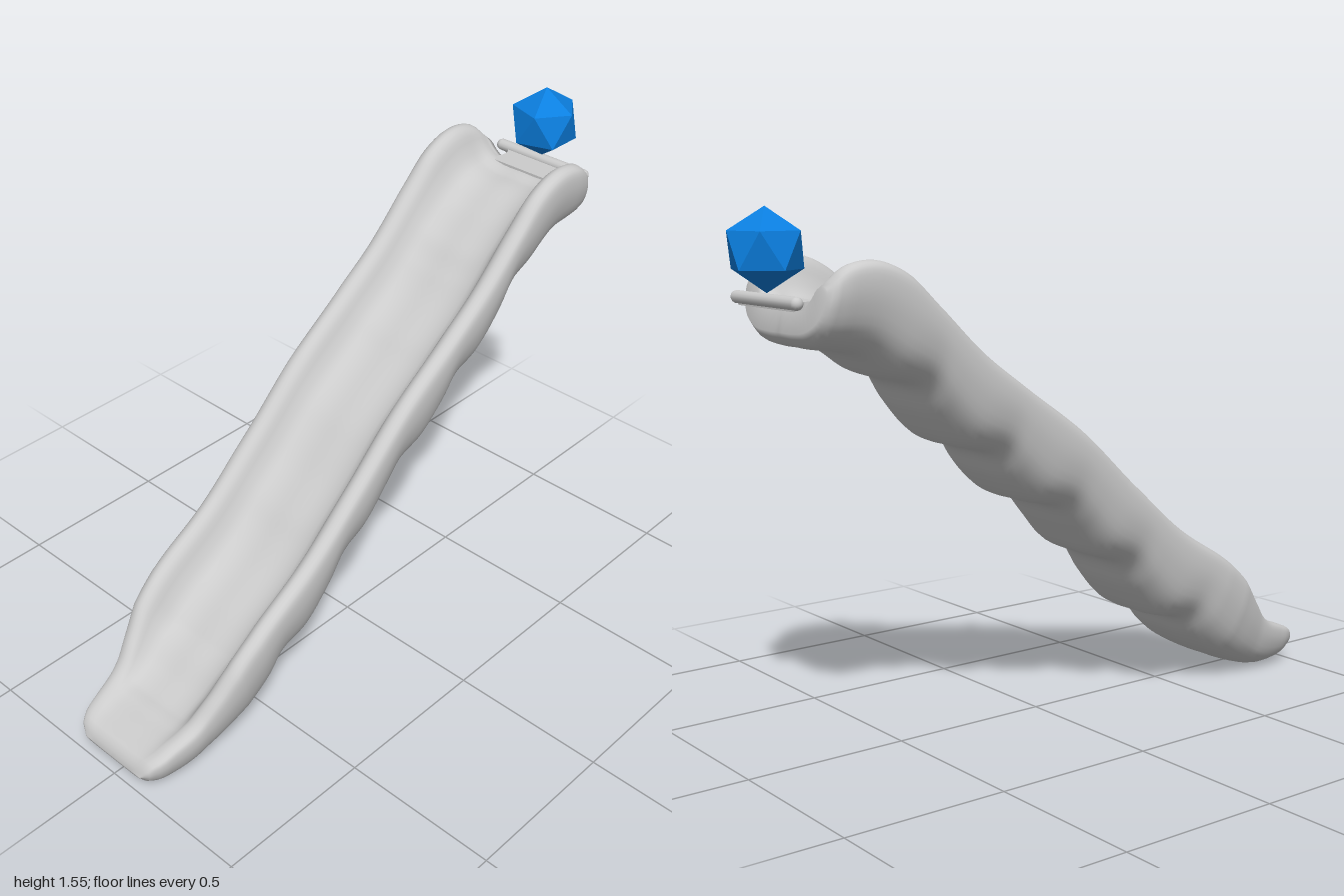
import * as THREE from 'three';

const grey = () => new THREE.MeshStandardMaterial({ color: 0xcccccc });
const sideCurve = pts => new THREE.CatmullRomCurve3(pts.map(([z, y]) => new THREE.Vector3(0, y, z)));

// Linear lookup in a list of [key, value] pairs with falling keys
function lookup(table, key) {
  if (key >= table[0][0]) return table[0][1];
  for (let i = 1; i < table.length; i++) {
    const [k1, v1] = table[i - 1], [k2, v2] = table[i];
    if (key >= k2) return v1 + (v2 - v1) * (k1 - key) / (k1 - k2);
  }
  return table[table.length - 1][1];
}

// Side outlines as [z, y], from the exit up to the top
const rim = sideCurve([[1, 0.08], [0.98, 0.12], [0.92, 0.15], [0.83, 0.19], [0.76, 0.27], [0.69, 0.36],
  [0.6, 0.435], [0.4, 0.56], [0.2, 0.73], [0, 0.91], [-0.2, 1.05], [-0.35, 1.16], [-0.5, 1.3],
  [-0.6, 1.39], [-0.7, 1.425], [-0.79, 1.41], [-0.84, 1.36]]);
const underside = sideCurve([[0.998, 0.07], [0.97, 0.03], [0.88, 0.01], [0.77, 0.03], [0.6, 0.11],
  [0.53, 0.17], [0.48, 0.235], [0.38, 0.265], [0.29, 0.36], [0.235, 0.45], [0.13, 0.5], [0.05, 0.59],
  [-0.01, 0.66], [-0.12, 0.695], [-0.2, 0.77], [-0.25, 0.845], [-0.36, 0.885], [-0.45, 0.98],
  [-0.5, 1.06], [-0.6, 1.1], [-0.7, 1.165], [-0.84, 1.195], [-0.87, 1.23]]);
const halfWidth = [[1, 0.12], [0.985, 0.15], [0.95, 0.17], [0.8, 0.2], [0.76, 0.215], [0.7, 0.235],
  [0.62, 0.242], [-0.78, 0.242], [-0.82, 0.235], [-0.84, 0.215]];
const troughDepth = [[1, 0], [0.95, 0.008], [0.84, 0.025], [0.76, 0.08], [0.66, 0.125], [0.3, 0.12],
  [-0.4, 0.12], [-0.6, 0.14], [-0.75, 0.125], [-0.84, 0.07]];

// Half section: width share, drop as share of height, drop as share of trough depth
const halfSection = new THREE.CatmullRomCurve3([
  [0, 1, 0], [0.3, 1, 0], [0.6, 0.95, 0], [0.85, 0.75, 0], [0.97, 0.45, 0], [1, 0.2, 0], [0.97, 0.05, 0],
  [0.86, 0, 0], [0.75, 0, 0.12], [0.66, 0, 0.5], [0.52, 0, 0.87], [0.3, 0, 1], [0, 0, 1],
].map(p => new THREE.Vector3(...p)));

function chuteGeometry() {
  const H = 36, M = H * 2, N = 130;
  const half = halfSection.getPoints(H);
  const positions = [], index = [];
  for (let i = 0; i <= N; i++) {
    const top = rim.getPointAt(i / N);
    const down = underside.getPointAt(i / N).sub(top);
    const length = down.length();
    down.normalize();
    const w = lookup(halfWidth, top.z);
    const depth = Math.min(lookup(troughDepth, top.z), length * 0.7);
    for (let j = 0; j < M; j++) {
      const s = half[j <= H ? j : M - j];
      const p = top.clone().addScaledVector(down, s.y * length + s.z * depth);
      positions.push((j <= H ? 1 : -1) * s.x * w, p.y, p.z);
    }
  }
  for (let i = 0; i < N; i++) {
    for (let j = 0; j < M; j++) {
      const k = (j + 1) % M, a = i * M + j, b = i * M + k;
      index.push(a, a + M, b, b, a + M, b + M);
    }
  }
  // Both ends: join the outer wall to the inner wall, on each side
  for (const [start, flip] of [[0, true], [N * M, false]]) {
    for (const mirror of [false, true]) {
      const at = j => start + (mirror ? (M - j) % M : j);
      for (let j = 0; j < H / 2; j++) {
        const a = at(j), b = at(j + 1), c = at(H - j), d = at(H - j - 1);
        if (flip !== mirror) index.push(a, b, c, b, d, c);
        else index.push(a, c, b, b, c, d);
      }
    }
  }
  const geometry = new THREE.BufferGeometry();
  geometry.setAttribute('position', new THREE.Float32BufferAttribute(positions, 3));
  geometry.setIndex(index);
  geometry.computeVertexNormals();
  return geometry;
}

export function createModel() {
  const model = new THREE.Group();
  const add = (name, geometry, material = grey()) => {
    const mesh = new THREE.Mesh(geometry, material);
    mesh.name = name;
    model.add(mesh);
    return mesh;
  };

  add('chute', chuteGeometry());

  // Flared lip behind the top of the chute, ending in a rounded bar
  const lip = new THREE.Shape();
  lip.moveTo(-0.14, 0.8);
  lip.quadraticCurveTo(-0.08, 0.87, -0.15, 0.905);
  lip.lineTo(0.15, 0.905);
  lip.quadraticCurveTo(0.08, 0.87, 0.14, 0.8);
  lip.closePath();
  const lipGeometry = new THREE.ExtrudeGeometry(lip, { depth: 0.022, bevelEnabled: false, curveSegments: 10 });
  lipGeometry.rotateX(-Math.PI / 2);
  add('topLip', lipGeometry).position.set(0, 1.295, 0);
  const bar = add('topBar', new THREE.CapsuleGeometry(0.018, 0.32, 6, 14));
  bar.rotation.z = Math.PI / 2;
  bar.position.set(0, 1.317, -0.903);

  // Faceted ball standing on one corner
  const ballGeometry = new THREE.IcosahedronGeometry(0.114, 0);
  ballGeometry.rotateZ(-Math.atan(2 / (1 + Math.sqrt(5))));
  add('ball', ballGeometry, new THREE.MeshStandardMaterial({ color: 0x0b7fe0, flatShading: true }))
    .position.set(0, 1.449, -0.9);

  return model;
}
